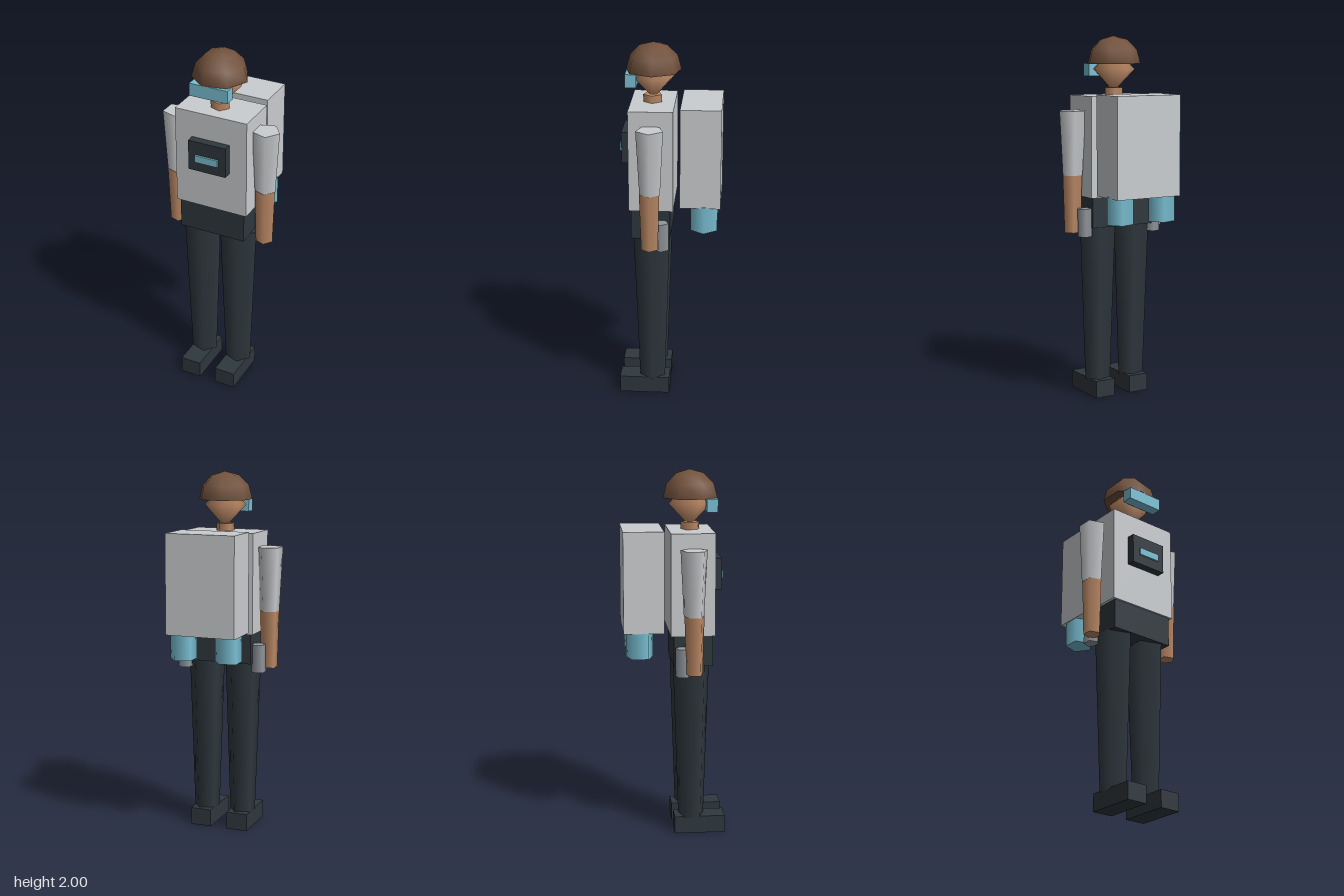
import * as THREE from 'three';

export function createModel() {
  const model = new THREE.Group();
  const CX = -0.0075; // body axis
  const CZ = 0.09;

  const mat = (name, color) => {
    const m = new THREE.MeshStandardMaterial({ color });
    m.name = name;
    return m;
  };
  const suit = mat('suit grey', 0xcbced1);
  const dark = mat('dark fabric', 0x2f383e);
  const skin = mat('skin', 0xbd8a66);
  const hairBrown = mat('hair brown', 0x72523d);
  const cyan = mat('cyan', 0x7bc1d5);
  const steel = mat('steel grey', 0x92989e);

  const add = (name, geometry, material, x, y, z) => {
    const mesh = new THREE.Mesh(geometry, material);
    mesh.name = name;
    mesh.position.set(x, y, z);
    model.add(mesh);
    return mesh;
  };
  // Box given by width, y range and z range
  const box = (name, m, x, w, y0, y1, z0, z1) =>
    add(name, new THREE.BoxGeometry(w, y1 - y0, z1 - z0), m, x, (y0 + y1) / 2, (z0 + z1) / 2);
  // Five-sided tapered limb with one corner towards +x
  const limb = (name, m, x, z, rTop, rBottom, y0, y1) =>
    add(name, new THREE.CylinderGeometry(rTop, rBottom, y1 - y0, 5, 1, false, Math.PI / 2), m, x, (y0 + y1) / 2, z);

  // Trunk, chest unit and backpack
  box('torso', suit, CX, 0.413, 1.13, 1.68, -0.027, 0.21);
  box('hips', dark, CX - 0.001, 0.379, 0.963, 1.13, -0.01, 0.2);
  box('chestPanel', dark, CX, 0.216, 1.365, 1.535, 0.2, 0.255);
  box('chestLight', cyan, CX, 0.13, 1.42, 1.46, 0.25, 0.266);
  box('backpack', suit, CX - 0.001, 0.391, 1.146, 1.69, -0.279, -0.062);

  // Head
  limb('neck', skin, CX, 0.094, 0.052, 0.052, 1.66, 1.72);
  const head = add('head', new THREE.SphereGeometry(0.118, 7, 2, Math.PI), skin, CX, 1.82, CZ);
  head.scale.y = 1.06;
  add('hair', new THREE.SphereGeometry(0.151, 7, 3, Math.PI, Math.PI * 2, 0, Math.PI / 2), hairBrown, CX, 1.85, CZ);
  const under = add('hairUnderside', new THREE.CircleGeometry(0.151, 7), hairBrown, CX, 1.85, CZ);
  under.rotation.x = Math.PI / 2;
  box('visor', cyan, CX, 0.216, 1.78, 1.85, 0.172, 0.232);

  // Paired parts
  for (const [side, s] of [['left', 1], ['right', -1]]) {
    limb(side + 'Sleeve', suit, CX + s * 0.2615, CZ + 0.001, 0.075, 0.057, 1.25, 1.6);
    limb(side + 'Forearm', skin, CX + s * 0.2615, CZ + 0.004, 0.056, 0.047, 0.935, 1.25);
    limb(side + 'Leg', dark, CX + s * 0.1085, 0.093, 0.104, 0.074, 0.09, 0.97);
    box(side + 'Boot', dark, CX + s * 0.1085, 0.119, 0, 0.097, -0.003, 0.276);
    limb(side + 'Holster', steel, CX - 0.002 + s * 0.2185, 0.036, 0.042, 0.042, 0.915, 1.07);
    limb(side + 'Thruster', cyan, CX + s * 0.1305, -0.19, 0.076, 0.076, 1.005, 1.155);
  }
  return model;
}
